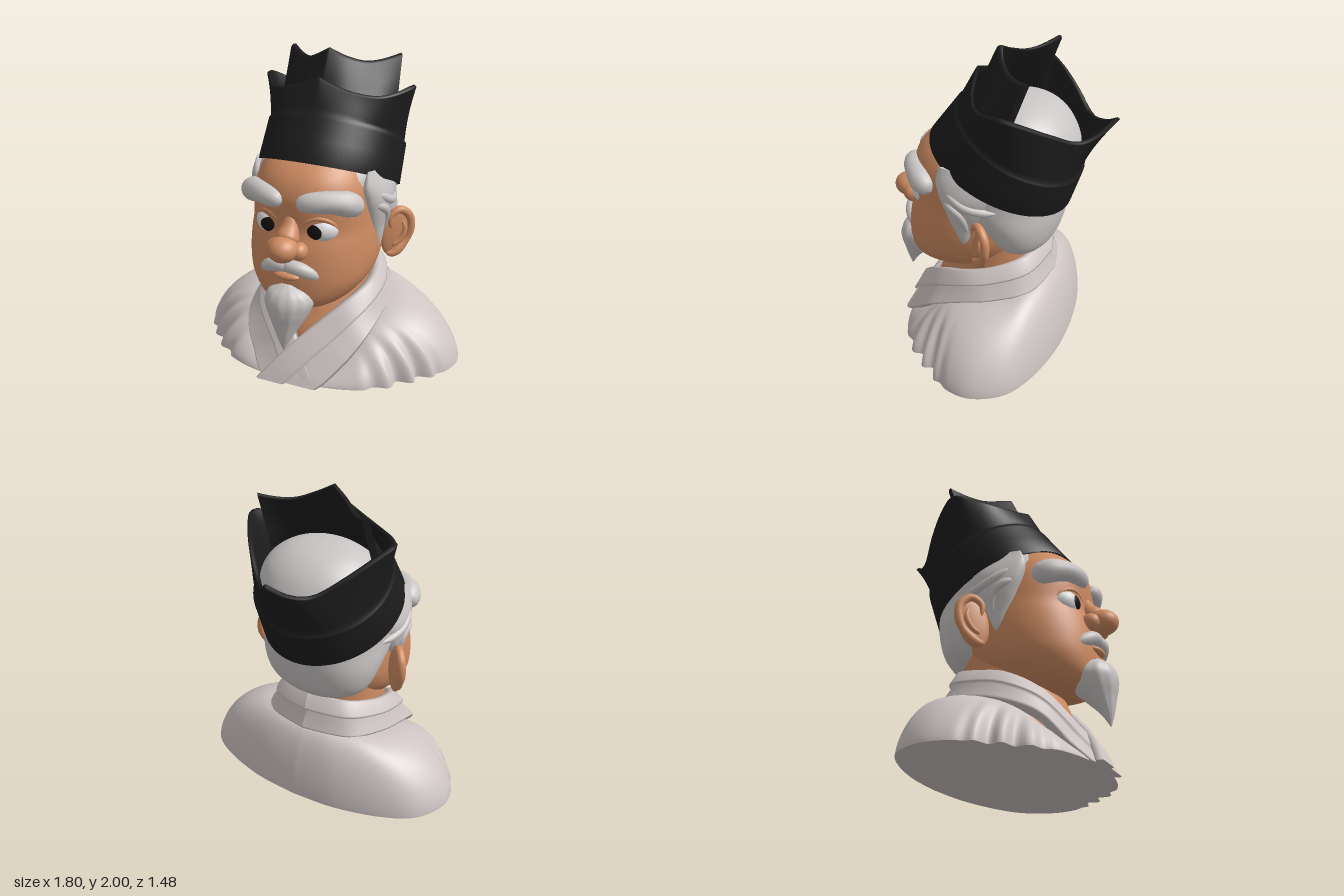
import * as THREE from 'three';

const mat = (name, color) => Object.assign(new THREE.MeshStandardMaterial({ color }), { name });
const lerp = THREE.MathUtils.lerp;
const mix = (a, b, t) => a.map((v, i) => lerp(v, b[i], t));

// Smooth interpolation through rows of numbers, t from 0 to 1
function smooth(rows, t) {
  const f = Math.min(Math.max(t, 0), 1) * (rows.length - 1);
  const i = Math.min(Math.floor(f), rows.length - 2), s = f - i;
  const at = (k) => rows[Math.min(Math.max(k, 0), rows.length - 1)];
  return rows[0].map((_, c) => {
    const [a, b, d, e] = [at(i - 1)[c], at(i)[c], at(i + 1)[c], at(i + 2)[c]];
    return b + 0.5 * s * (d - a + s * (2 * a - 5 * b + 4 * d - e + s * (3 * (b - d) + e - a)));
  });
}

// Closed solid through equal-sized rings of points; wrap joins the last ring to the first
function loft(rings, wrap = false) {
  const n = rings[0].length, m = rings.length, pos = rings.flat(2), idx = [];
  for (let r = 0; r < (wrap ? m : m - 1); r++) for (let i = 0; i < n; i++) {
    const a = r * n + i, b = r * n + (i + 1) % n, k = ((r + 1) % m) * n;
    idx.push(a, b, k + i, b, k + (i + 1) % n, k + i);
  }
  if (!wrap) [0, m - 1].forEach((r) => {
    const start = pos.length / 3, c = [0, 1, 2].map((j) => rings[r].reduce((s, p) => s + p[j], 0) / n);
    pos.push(...rings[r].flat(), ...c);
    for (let i = 0; i < n; i++) {
      const a = start + i, b = start + (i + 1) % n;
      idx.push(...(r ? [a, b, start + n] : [b, a, start + n]));
    }
  });
  let vol = 0;
  const v = (i) => new THREE.Vector3().fromArray(pos, idx[i] * 3);
  for (let i = 0; i < idx.length; i += 3) vol += v(i).dot(v(i + 1).cross(v(i + 2)));
  if (vol < 0) idx.reverse();
  const g = new THREE.BufferGeometry();
  g.setAttribute('position', new THREE.Float32BufferAttribute(pos, 3));
  g.setIndex(idx);
  g.computeVertexNormals();
  return g;
}

// Solid from levels [y, half width, back z, front z]
function levelSolid(levels, { p = 2.2, steps = 48, n = 64, ripple = 0, waves = 0 } = {}) {
  const pw = (c) => Math.sign(c) * Math.abs(c) ** (2 / p);
  return loft(Array.from({ length: steps + 1 }, (_, k) => {
    const [y, hx, zb, zf] = smooth(levels, k / steps);
    return Array.from({ length: n }, (_, i) => {
      const a = i / n * Math.PI * 2, w = 1 + ripple * Math.cos(a * waves);
      return [hx * w * pw(Math.sin(a)), y, (zf + zb) / 2 + (zf - zb) / 2 * w * pw(Math.cos(a))];
    });
  }));
}

// Tube along points [x, y, z, radius] with rounded ends
function strand(pts, steps = 28, n = 14) {
  const curve = new THREE.CatmullRomCurve3(pts.map((q) => new THREE.Vector3(...q)));
  const { normals, binormals } = curve.computeFrenetFrames(steps);
  return loft(Array.from({ length: steps + 1 }, (_, k) => {
    const t = k / steps, c = curve.getPointAt(t);
    const r = Math.max(0.002, smooth(pts, t)[3] * Math.sqrt(1 - Math.abs(2 * t - 1) ** 7));
    return Array.from({ length: n }, (_, i) => {
      const a = i / n * Math.PI * 2;
      return c.clone().addScaledVector(normals[k], r * Math.cos(a)).addScaledVector(binormals[k], r * Math.sin(a)).toArray();
    });
  }));
}

const blob = (x, y, z, rx, ry, rz) => new THREE.SphereGeometry(1, 32, 20).scale(rx, ry, rz).translate(x, y, z);

function mirrored(g) {
  const m = g.clone().applyMatrix4(new THREE.Matrix4().makeScale(-1, 1, 1));
  m.setIndex(Array.from(m.index.array).reverse());
  m.computeVertexNormals();
  return m;
}

// Full ring from a rule for one half, u = 0..1
const halfRing = (f, M) => Array.from({ length: 2 * M }, (_, i) => {
  const [x, y, z] = f(i <= M ? i / M : 2 - i / M);
  return [i <= M ? x : -x, y, z];
});

export function createModel() {
  const model = new THREE.Group();
  model.name = 'bust';
  const skin = mat('skin', 0xcf8c62), hair = mat('hair', 0xcac5c5), robe = mat('robe', 0xcdc4c3);
  const black = mat('hatBlack', 0x1d1d1d), white = mat('eyeWhite', 0xdedcde), dark = mat('pupilBlack', 0x14110f);
  const add = (name, g, m) => {
    const mesh = new THREE.Mesh(g, m);
    mesh.name = name;
    model.add(mesh);
  };
  const pair = (name, g, m) => {
    add(name + 'Left', g, m);
    add(name + 'Right', mirrored(g), m);
  };

  // Head and neck
  add('head', levelSolid([[0.47, 0.12, 0.2, 0.45], [0.5, 0.21, 0.08, 0.55], [0.56, 0.3, -0.06, 0.595], [0.66, 0.375, -0.17, 0.605],
    [0.78, 0.403, -0.25, 0.6], [0.9, 0.405, -0.27, 0.58], [1.0, 0.4, -0.28, 0.55], [1.12, 0.395, -0.3, 0.555],
    [1.22, 0.38, -0.3, 0.55], [1.32, 0.345, -0.3, 0.505], [1.41, 0.29, -0.28, 0.405], [1.48, 0.2, -0.2, 0.25]]), skin);
  add('neck', levelSolid([[0.08, 0.36, -0.25, 0.45], [0.25, 0.345, -0.26, 0.44], [0.4, 0.325, -0.27, 0.385],
    [0.55, 0.315, -0.27, 0.33], [0.78, 0.31, -0.28, 0.28]]), skin);

  // Hair cap, sideburns and the waves above the ears
  add('hair', levelSolid([[0.66, 0.06, -0.24, -0.16], [0.675, 0.18, -0.295, -0.09], [0.72, 0.29, -0.35, 0], [0.8, 0.362, -0.4, 0.05], [0.94, 0.41, -0.437, 0.18],
    [1.1, 0.425, -0.46, 0.42], [1.25, 0.43, -0.49, 0.48], [1.38, 0.418, -0.51, 0.37], [1.48, 0.393, -0.48, 0.25], [1.57, 0.335, -0.42, 0.15],
    [1.64, 0.24, -0.33, 0.06], [1.675, 0.13, -0.23, -0.02], [1.685, 0.01, -0.14, -0.12]], { p: 2.05 }), hair);
  pair('sideburn', levelSolid([[0.77, 0.012, 0.1, 0.12], [0.85, 0.036, 0.07, 0.155], [0.95, 0.052, 0.03, 0.2], [1.05, 0.075, -0.03, 0.24],
    [1.15, 0.085, -0.08, 0.275], [1.24, 0.062, -0.1, 0.29], [1.33, 0.02, -0.08, 0.26]], { p: 2, n: 40 }).translate(0.378, 0, 0), hair);
  pair('upperWave', strand([[0.385, 1.21, 0.25, 0.015], [0.43, 1.17, 0.18, 0.028], [0.45, 1.12, 0.09, 0.03], [0.43, 1.09, -0.03, 0.026], [0.408, 1.09, -0.12, 0.01]]), hair);
  pair('lowerWave', strand([[0.385, 1.13, 0.25, 0.015], [0.435, 1.1, 0.18, 0.028], [0.44, 1.04, 0.11, 0.028], [0.42, 0.95, 0.09, 0.02], [0.4, 0.88, 0.1, 0.008]]), hair);

  // Brows, moustache and beard
  pair('eyebrow', strand([[0.042, 1.18, 0.545, 0.052], [0.13, 1.195, 0.535, 0.063], [0.23, 1.2, 0.49, 0.068], [0.32, 1.175, 0.41, 0.077], [0.355, 1.13, 0.33, 0.07]]), hair);
  pair('moustache', strand([[-0.02, 0.797, 0.603, 0.04], [0.07, 0.793, 0.6, 0.043], [0.13, 0.768, 0.575, 0.043], [0.175, 0.735, 0.54, 0.035], [0.2, 0.705, 0.51, 0.018]]), hair);
  add('beard', levelSolid([[0.25, 0.004, 0.653, 0.661], [0.33, 0.045, 0.6, 0.682], [0.42, 0.095, 0.51, 0.697], [0.5, 0.138, 0.43, 0.712],
    [0.57, 0.155, 0.42, 0.71], [0.63, 0.12, 0.49, 0.68], [0.675, 0.04, 0.55, 0.62]], { p: 2, ripple: 0.012, waves: 12, n: 96 }), hair);

  // Eyes with pupils lying on them, and lids
  const placeEye = (g, s) => g.scale(0.11 * s, 0.085 * s, 0.09 * s).rotateY(0.45).translate(0.17, 1.012, 0.45);
  pair('eye', placeEye(new THREE.SphereGeometry(1, 32, 20), 1), white);
  pair('pupil', placeEye(new THREE.SphereGeometry(1, 28, 8, 0, Math.PI * 2, 0, 0.56).rotateX(Math.PI / 2).rotateY(-0.62), 1.03), dark);
  pair('upperLid', strand([[0.065, 1.0, 0.53, 0.01], [0.1, 1.07, 0.53, 0.016], [0.17, 1.095, 0.51, 0.018], [0.24, 1.065, 0.47, 0.016], [0.28, 0.99, 0.43, 0.01]]), skin);

  // Nose and mouth
  add('noseTip', blob(0, 0.92, 0.64, 0.092, 0.08, 0.099), skin);
  add('noseBridge', strand([[0, 1.1, 0.505, 0.045], [0, 1.02, 0.54, 0.06], [0, 0.94, 0.6, 0.08]]), skin);
  pair('nostril', blob(0.083, 0.9, 0.588, 0.05, 0.055, 0.06), skin);
  add('lowerLip', blob(0, 0.728, 0.595, 0.085, 0.026, 0.04), skin);

  // Ears, turned half forward
  const placeEar = (g) => g.rotateZ(-0.18).rotateY(0.75).translate(0.468, 0.86, -0.01);
  pair('earShell', placeEar(blob(0, 0, -0.01, 0.1, 0.165, 0.028)), skin);
  pair('earRim', placeEar(strand([[-0.05, 0.03, 0.02, 0.015], [-0.065, 0.11, 0.01, 0.022], [-0.01, 0.158, 0.005, 0.026], [0.065, 0.12, 0, 0.028],
    [0.09, 0.02, 0, 0.028], [0.06, -0.07, 0, 0.025], [0, -0.135, 0.005, 0.034], [-0.045, -0.14, 0.01, 0.03]], 40)), skin);
  pair('earFold', placeEar(strand([[0.02, 0.09, 0.01, 0.01], [0.045, 0.03, 0.014, 0.018], [0.025, -0.04, 0.014, 0.018], [-0.02, -0.085, 0.014, 0.015]])), skin);

  // Hat: tilted band, then a flaring crown rising to four points, hollow inside
  const crown = [[0, 1.84, 0.15], [0.12, 1.79, 0.135], [0.23, 1.755, 0.11], [0.36, 1.735, 0.05], [0.45, 1.75, -0.05], [0.51, 1.775, -0.16],
    [0.45, 1.72, -0.28], [0.34, 1.63, -0.41], [0.2, 1.535, -0.54], [0.1, 1.555, -0.65], [0, 1.63, -0.74]];
  const tilted = (rx, rz, zc, yc, slope) => (u) => {
    const z = Math.cos(u * Math.PI) * rz;
    return [rx * Math.sin(u * Math.PI), yc + slope * z, zc + z];
  };
  const low = tilted(0.452, 0.453, -0.01, 1.2, 0.445), mid = tilted(0.448, 0.402, -0.133, 1.435, 0.51);
  const shrink = (f, s, dy = 0) => (u) => { const [x, y, z] = f(u); return [x * s, y + dy, (z + 0.15) * s - 0.15]; };
  const flare = (t) => (u) => {
    const a = mid(u), b = smooth(crown, u), k = t ** 1.45;
    return [lerp(a[0], b[0], k), lerp(a[1], b[1], t), lerp(a[2], b[2], lerp(t, k, u))];
  };
  const hat = [low, (u) => mix(low(u), mid(u), 0.5), (u) => mix(low(u), mid(u), 0.95), mid, shrink(mid, 0.97, 0.012)];
  for (let t = 0.12; t < 0.99; t += 0.12) hat.push(shrink(flare(t), lerp(0.97, 1, t)));
  hat.push(flare(1), shrink(flare(1), 0.97, 0.01));
  for (const t of [1, 0.75, 0.5, 0.25, 0]) hat.push(shrink(flare(t), 0.93));
  hat.push(shrink(low, 0.94));
  add('hat', loft(hat.map((f) => halfRing(f, 48)), true), black);

  // Taller front panel standing inside the crown, swept from side to side
  const panelTop = [[0, 1.995, 0.015], [0.1, 1.945, -0.025], [0.2, 1.91, -0.095], [0.29, 1.915, -0.17], [0.385, 1.945, -0.25]];
  const panelLow = [[0, 1.55, 0.22], [0.15, 1.55, 0.205], [0.28, 1.55, 0.13], [0.37, 1.55, 0.02], [0.4, 1.55, -0.11]];
  const panel = [];
  for (let i = -24; i <= 24; i++) {
    const u = Math.abs(i) / 24, a = smooth(panelLow, u), b = smooth(panelTop, u);
    const at = (h, d) => {
      const [x, y, z] = mix(a, b, h);
      return [Math.sign(i) * x * (1 - 2 * d), y, z - d];
    };
    panel.push([at(0, 0), at(0.33, 0), at(0.66, 0), at(0.98, 0), at(1.01, 0.01), at(1.01, 0.025), at(0.98, 0.035), at(0.66, 0.035), at(0.33, 0.035), at(0, 0.035)]);
  }
  add('hatPanel', loft(panel), black);

  // Robe: rounded shoulders with folds at the front of each sleeve
  const hem = [[0, 0, -0.515], [0.3, 0, -0.49], [0.6, 0, -0.405], [0.8, 0, -0.285], [0.895, 0, -0.09], [0.865, 0, 0.09],
    [0.75, 0, 0.23], [0.625, 0, 0.37], [0.46, 0, 0.515], [0.25, 0, 0.585], [0, 0, 0.6]];
  const yoke = [[0, 0.46, -0.345], [0.15, 0.46, -0.325], [0.29, 0.45, -0.255], [0.37, 0.42, -0.16], [0.41, 0.395, -0.04], [0.42, 0.365, 0.08],
    [0.41, 0.32, 0.2], [0.35, 0.26, 0.29], [0.28, 0.17, 0.36], [0.15, 0.09, 0.41], [0, 0.06, 0.43]];
  const body = [];
  for (let k = 0; k <= 24; k++) body.push(halfRing((u) => {
    const phi = k / 24 * Math.PI / 2, b = smooth(hem, u), t = smooth(yoke, u);
    const window = Math.exp(-(((u - 0.66) / 0.12) ** 4));
    const fold = 1 + 0.04 * window * Math.cos(u * 78) * Math.cos(phi) ** 0.6;
    return [lerp(t[0], b[0] * fold, Math.cos(phi)), t[1] * Math.sin(phi) ** 1.32, lerp(t[2], b[2] * fold, Math.cos(phi))];
  }, 100));
  add('robe', loft(body), robe);

  // Collar bands: [inner edge xyz, outer edge xyz] from the nape round to the hem
  const band = [[0, 0.68, -0.285, 0, 0.45, -0.375], [0.21, 0.655, -0.22, 0.29, 0.44, -0.295], [0.315, 0.595, -0.03, 0.41, 0.405, -0.08],
    [0.33, 0.55, 0.14, 0.435, 0.36, 0.12], [0.25, 0.47, 0.29, 0.415, 0.275, 0.33], [0.12, 0.35, 0.405, 0.36, 0.175, 0.45],
    [0, 0.235, 0.505, 0.29, 0.085, 0.535], [-0.1, 0.12, 0.58, 0.24, 0.03, 0.59], [-0.2, 0, 0.64, 0.2, 0, 0.62]];
  const section = [[0, -0.02], [0, 0.012], [0.04, 0.03], [0.42, 0.036], [0.47, 0.034], [0.5, 0.014], [0.94, 0.022], [1, 0.01], [1, -0.05], [0.5, -0.04]];
  const collar = (under) => {
    const rings = [];
    for (let k = 0; k <= 56; k++) {
      const r = smooth(band, k / 56), sink = under * 0.03 * THREE.MathUtils.smoothstep(k / 56, 0.55, 0.75);
      rings.push(section.map(([v, h]) => {
        const [x, y, z] = mix(r.slice(0, 3), r.slice(3), v);
        const d = new THREE.Vector3(x, 0, z).normalize();
        return [x + d.x * h, Math.max(0, y + h * 0.5 * (1 - k / 56)), z + d.z * h - sink];
      }));
    }
    return loft(rings);
  };
  add('collarLeft', collar(0), robe);
  add('collarRight', mirrored(collar(1)), robe);

  return model;
}
